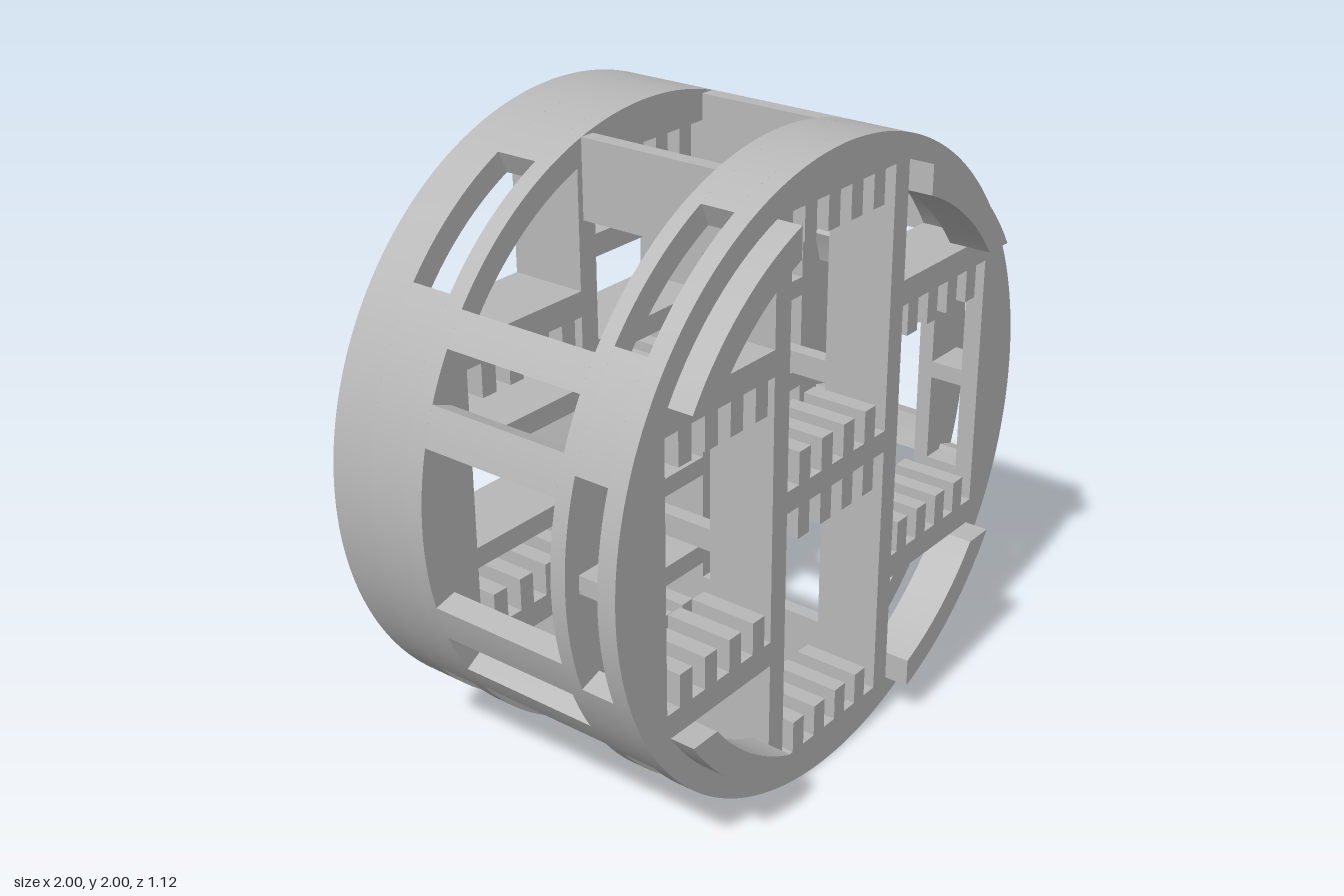
import * as THREE from 'three';
import { toCreasedNormals } from 'three/addons/utils/BufferGeometryUtils.js';

const R = 1, RI = 0.925;            // drum wall radii
const SIGNS = [-1, 1];
const rad = THREE.MathUtils.degToRad;

export function createModel() {
  const model = new THREE.Group();
  model.name = 'drumRack';
  const grey = new THREE.MeshStandardMaterial({ color: 0xb8b8b8 });
  grey.name = 'plainGrey';

  // All parts are laid out round the drum axis, which sits at y = 1
  const body = new THREE.Group();
  body.name = 'drum';
  body.position.y = 1;
  model.add(body);

  const add = (name, geometry) => {
    const mesh = new THREE.Mesh(geometry, grey);
    mesh.name = name;
    body.add(mesh);
  };
  const box = (name, x0, x1, y0, y1, z0, z1) => {
    const g = new THREE.BoxGeometry(Math.abs(x1 - x0), Math.abs(y1 - y0), z1 - z0);
    g.translate((x0 + x1) / 2, (y0 + y1) / 2, (z0 + z1) / 2);
    add(name, g);
  };
  // Box repeated in all four quarters
  const box4 = (name, x0, x1, y0, y1, z0, z1) => {
    for (const sx of SIGNS) for (const sy of SIGNS) box(name, sx * x0, sx * x1, sy * y0, sy * y1, z0, z1);
  };
  const extrude = (name, shape, z0, z1, curveSegments = 24) => {
    const g = new THREE.ExtrudeGeometry(shape, { depth: z1 - z0, bevelEnabled: false, curveSegments });
    g.translate(0, 0, z0);
    add(name, toCreasedNormals(g, 0.5));
  };
  const ring = (name, z0, z1) => {
    const s = new THREE.Shape().absarc(0, 0, R, 0, Math.PI * 2);
    s.holes.push(new THREE.Path().absarc(0, 0, RI, 0, Math.PI * 2, true));
    extrude(name, s, z0, z1, 96);
  };
  const sector = (name, a0, a1, z0, z1, ri = RI, ro = R) => {
    const s = new THREE.Shape();
    s.absarc(0, 0, ro, rad(a0), rad(a1), false);
    s.absarc(0, 0, ri, rad(a1), rad(a0), true);
    s.closePath();
    extrude(name, s, z0, z1, Math.max(2, Math.ceil((a1 - a0) / 3.75)));
  };

  // Drum wall with a band of slots between zs0 and zs1
  const wall = (name, z0, zs0, zs1, z1, sideSlots) => {
    ring(name, z0, zs0);
    ring(name, zs1, z1);
    for (const base of [0, 180]) {
      sector(name, base + 64.8, base + 115.2, zs0, zs1);
      if (sideSlots) {
        sector(name, base + 18.8, base + 38.6, zs0, zs1);
        sector(name, base - 38.6, base - 18.8, zs0, zs1);
      } else sector(name, base - 38.6, base + 38.6, zs0, zs1);
    }
  };
  wall('frontWall', 0.26, 0.31, 0.42, 0.48, true);
  wall('rearWall', -0.56, -0.41, -0.27, -0.21, false);

  // Four teeth in a row round cx
  const comb = (cx, y0, y1, z0, z1) => {
    for (let i = 0; i < 4; i++) {
      const x = cx + (i - 1.5) * 0.111;
      box('combTooth', x - 0.0275, x + 0.0275, y0, y1, z0, z1);
    }
  };

  // Lattice with teeth, shared by the front and the rear
  const lattice = (z0, z1) => {
    for (const sx of SIGNS) box('upright', sx * 0.25, sx * 0.32, -0.94, 0.94, z0, z1);
    box4('shelf', 0.295, 0.855, 0.42, 0.5, z0, z1);
    box('middleBar', -0.25, 0.25, -0.03, 0.04, z0, z1);
    for (const sy of SIGNS) {
      box('endCap', -0.25, 0.25, sy * 0.873, sy * 0.955, z0, z1);
      comb(0, sy * 0.768, sy * 0.873, z0, z1);
      for (const sx of SIGNS) comb(sx * 0.545, sy * 0.315, sy * 0.42, z0, z1);
    }
    comb(0, 0.04, 0.145, z0, z1);
    comb(0, -0.135, -0.03, z0, z1);
  };
  lattice(0.26, 0.48);
  lattice(-0.46, -0.21);

  // Side blocks filling the wall beside the outer bays
  const sideBlocks = (z0, z1) => {
    for (const sx of SIGNS) {
      box('sideBlock', sx * 0.795, sx * 0.9, -0.42, 0.42, z0, z1);
      box('sideBlock', sx * 0.795, sx * 0.95, -0.3, 0.3, z0, z1);
    }
  };
  sideBlocks(0.26, 0.31);
  sideBlocks(0.42, 0.48);
  sideBlocks(-0.46, -0.21);
  box4('sideBlockEnd', 0.795, 0.9, 0.315, 0.42, 0.31, 0.42);
  for (const sx of SIGNS) box('slotDivider', sx * 0.795, sx * 0.945, -0.025, 0.03, 0.31, 0.42);

  // Cross bars in the rear openings
  for (const sy of SIGNS) {
    box('rearCrossBar', -0.25, 0.25, sy * 0.585, sy * 0.655, -0.46, -0.21);
    box('rearCrossBar', -0.25, 0.25, sy * 0.26, sy * 0.325, -0.46, -0.21);
  }
  box4('rearSideBar', 0.295, 0.8, 0.135, 0.2, -0.46, -0.21);

  // Links between the two halves: fins, tie rods and curved straps
  box4('linkFin', 0.25, 0.3, 0.71, 0.955, -0.21, 0.26);
  box4('tieRod', 0.25, 0.3, 0.137, 0.21, -0.21, 0.26);
  for (const a of [18, 162, 198, 342]) sector('lowerStrap', a - 3.5, a + 3.5, -0.21, 0.26);
  for (const sx of SIGNS) for (const sy of SIGNS) {
    const pts = [30.4, 32.6, 34.8, 36.87].map(a =>
      new THREE.Vector2(sx * Math.cos(rad(a)), sy * Math.sin(rad(a))));
    pts.push(new THREE.Vector2(sx * 0.8, sy * 0.468));
    extrude('upperStrap', new THREE.Shape(pts), -0.21, 0.26);
  }

  // Raised curved ridges at the four front corners
  for (const sx of SIGNS) for (const sy of SIGNS) {
    const pts = [];
    const arc = (r, a0, a1) => {
      for (let i = 0; i <= 14; i++) {
        const a = a0 + (a1 - a0) * i / 14;
        pts.push(new THREE.Vector2(sx * r * Math.cos(a), sy * r * Math.sin(a)));
      }
    };
    arc(0.927, Math.asin(0.5 / 0.927), Math.acos(0.32 / 0.927));
    arc(0.84, Math.acos(0.32 / 0.84), Math.asin(0.5 / 0.84));
    extrude('cornerRidge', new THREE.Shape(pts), 0.42, 0.56);
  }

  return model;
}
